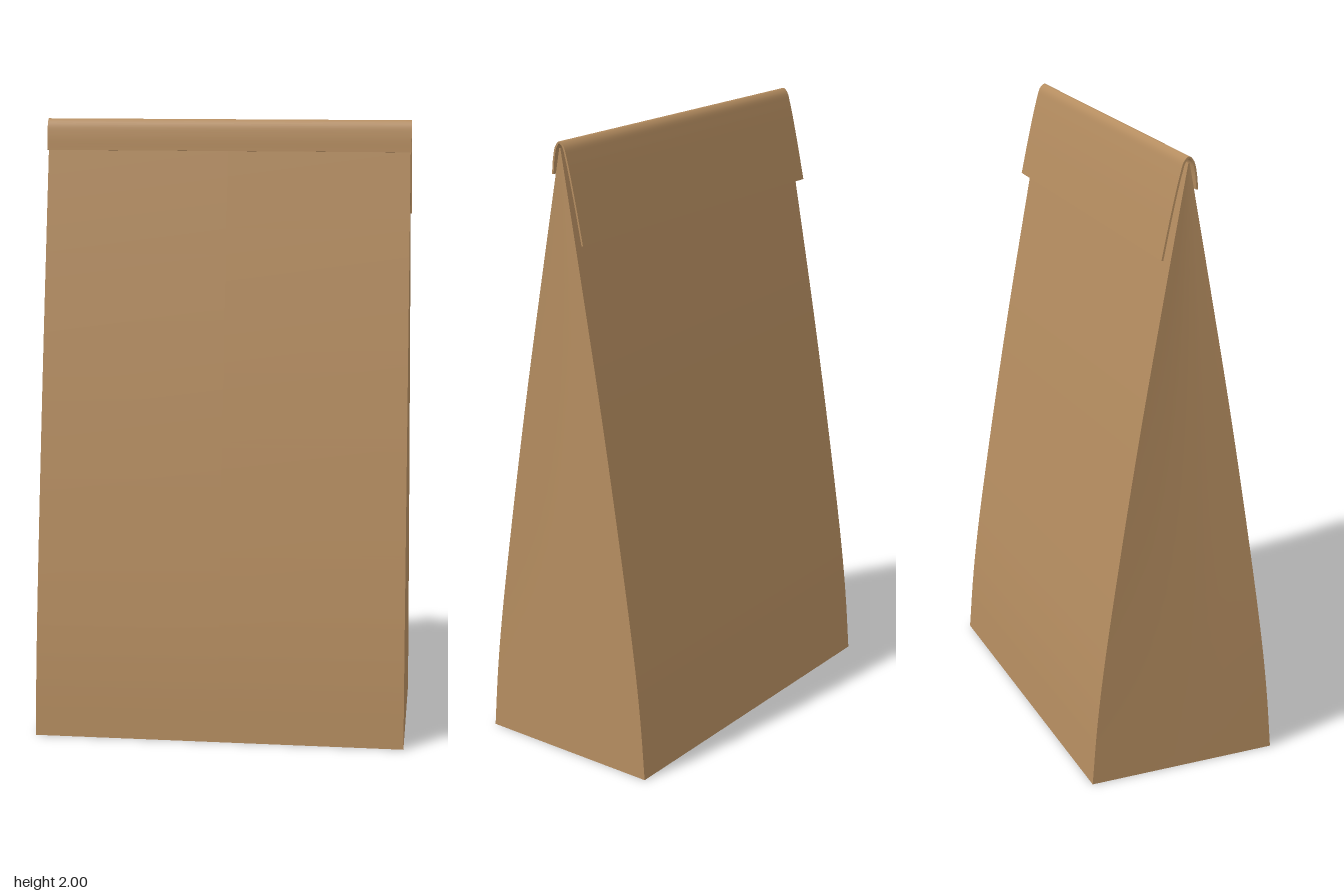
import * as THREE from 'three';

// Smooth sheet from rows of points; columns run to the viewer's right, rows run up
function sheet(rows, material, name) {
  const cols = rows[0].length;
  const index = [];
  for (let i = 0; i < rows.length - 1; i++) {
    for (let j = 0; j < cols - 1; j++) {
      const a = i * cols + j, b = a + 1, c = a + cols, d = c + 1;
      index.push(a, b, d, a, d, c);
    }
  }
  const geometry = new THREE.BufferGeometry();
  geometry.setAttribute('position', new THREE.Float32BufferAttribute(rows.flat(2), 3));
  geometry.setIndex(index);
  geometry.computeVertexNormals();
  const mesh = new THREE.Mesh(geometry, material);
  mesh.name = name;
  return mesh;
}

const halfWidth = (y) => 0.605 - 0.0095 * y;

function curve(points) {
  return new THREE.CatmullRomCurve3(points.map(([z, y]) => new THREE.Vector3(0, y, z)), false, 'centripetal');
}

export function createModel() {
  const paper = new THREE.MeshStandardMaterial({ color: 0xb58d60, side: THREE.DoubleSide });
  paper.name = 'kraft paper';
  const bag = new THREE.Group();
  bag.name = 'paperBag';

  // Body: four panels tapering to a pinched top, with a faint gusset in the sides
  const profile = curve([
    [0.315, 0], [0.298, 0.2], [0.274, 0.4], [0.213, 0.8],
    [0.146, 1.2], [0.073, 1.6], [0.002, 1.98],
  ]).getPoints(28);
  const body = new THREE.Group();
  body.name = 'body';
  for (const s of [1, -1]) {
    const broad = profile.map(({ y, z }) => [-1, 0, 1].map((k) => [s * k * halfWidth(y), y, s * z]));
    body.add(sheet(broad, paper, s > 0 ? 'frontPanel' : 'backPanel'));
    const narrow = profile.map(({ y, z }) => [1, 0.5, 0, -0.5, -1].map((k) => {
      const dent = 0.006 * (1 - k * k) * Math.sin(Math.PI * y / 1.98);
      return [s * (halfWidth(y) - dent), y, s * k * z];
    }));
    body.add(sheet(narrow, paper, s > 0 ? 'leftSide' : 'rightSide'));
  }
  const base = [-0.315, 0.315].map((z) => [-0.605, 0.605].map((x) => [x, 0, z]));
  body.add(sheet(base, paper, 'base'));
  bag.add(body);

  // Folded flap: a thin strip draped over the top, longer at the back
  const outerCurve = curve([
    [0.029, 1.9], [0.024, 1.95], [0.015, 1.985], [0, 2],
    [-0.016, 1.988], [-0.029, 1.95], [-0.056, 1.84], [-0.087, 1.697],
  ]);
  const steps = 36;
  const outer = [], inner = [];
  for (let i = 0; i <= steps; i++) {
    const p = outerCurve.getPoint(i / steps);
    const t = outerCurve.getTangent(i / steps);
    outer.push(p);
    inner.push(new THREE.Vector3(0, p.y + t.z * 0.006, p.z - t.y * 0.006));
  }
  const across = ({ y, z }) => [-1, 1].map((k) => [k * halfWidth(y - 0.3), y, z]);
  const flap = new THREE.Group();
  flap.name = 'foldedFlap';
  flap.add(sheet(outer.map(across), paper, 'flapOutside'));
  flap.add(sheet([...inner].reverse().map(across), paper, 'flapInside'));
  flap.add(sheet([inner[0], outer[0]].map(across), paper, 'flapFrontEdge'));
  flap.add(sheet([outer[steps], inner[steps]].map(across), paper, 'flapBackEdge'));
  for (const s of [1, -1]) {
    const end = outer.map((p, i) => (s > 0 ? [p, inner[i]] : [inner[i], p])
      .map(({ y, z }) => [s * halfWidth(y - 0.3), y, z]));
    flap.add(sheet(end, paper, s > 0 ? 'flapLeftEnd' : 'flapRightEnd'));
  }
  bag.add(flap);
  return bag;
}
